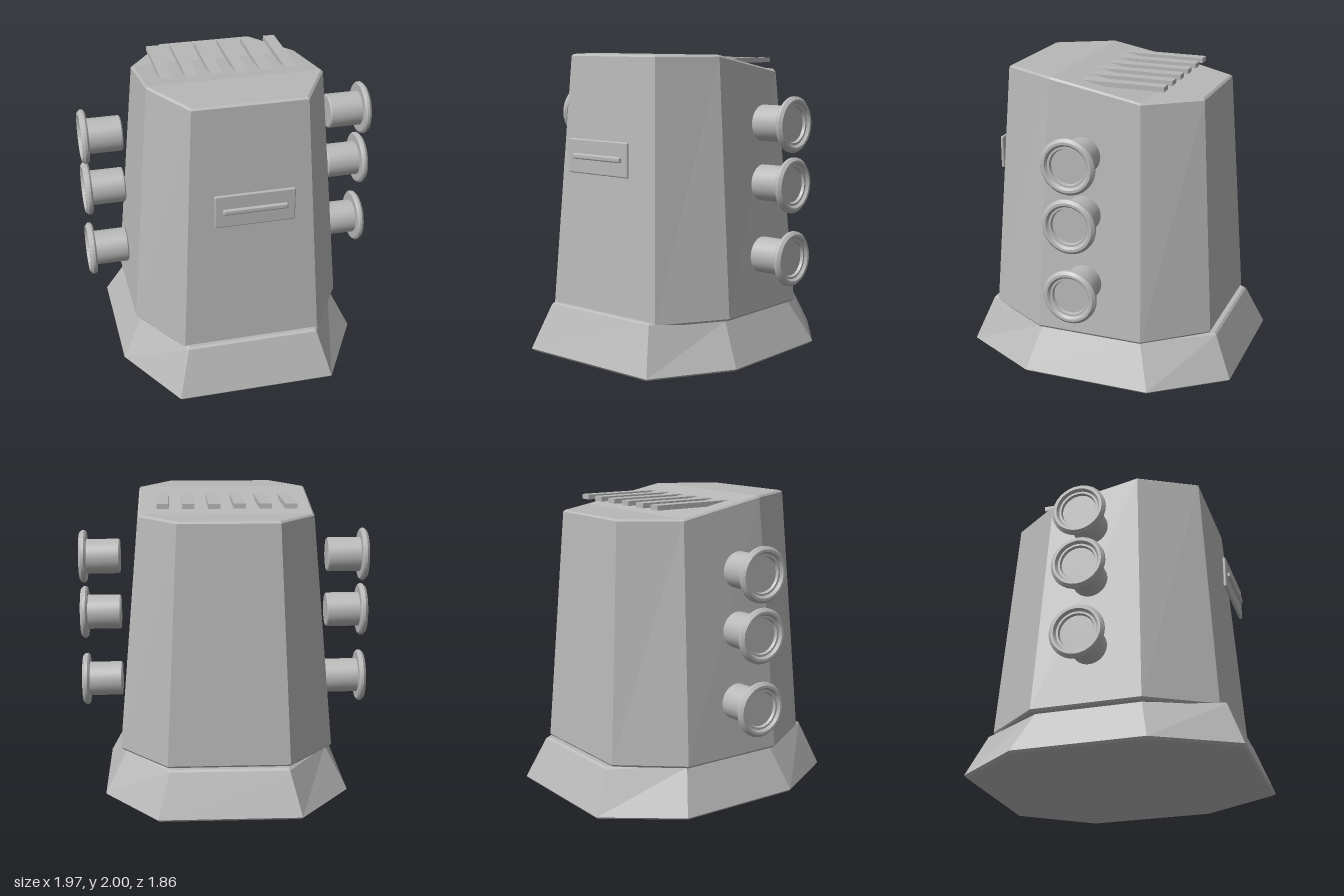
import * as THREE from 'three';
import { toCreasedNormals } from 'three/addons/utils/BufferGeometryUtils.js';
import { RoundedBoxGeometry } from 'three/addons/geometries/RoundedBoxGeometry.js';

// Eight-cornered ring, counter-clockwise from above. Each corner pair is [x, y, z], front to back.
function ring(front, sideFront, sideBack, back) {
  const right = [front, sideFront, sideBack, back];
  const left = right.map(([x, y, z]) => [-x, y, z]).reverse();
  return [...right, ...left];
}

// Skin a stack of rings with flat faces and close both ends.
function loft(rings) {
  const pos = [];
  const quad = (a, b, c, d) => pos.push(...a, ...b, ...c, ...a, ...c, ...d);
  for (let r = 0; r < rings.length - 1; r++) {
    const lo = rings[r], hi = rings[r + 1];
    for (let i = 0; i < 8; i++) {
      const j = (i + 1) % 8;
      quad(lo[i], lo[j], hi[j], hi[i]);
    }
  }
  const top = rings[rings.length - 1], bottom = rings[0];
  for (const [a, b, c, d] of [[0, 1, 6, 7], [1, 2, 5, 6], [2, 3, 4, 5]]) {
    quad(top[a], top[b], top[c], top[d]);
    quad(bottom[d], bottom[c], bottom[b], bottom[a]);
  }
  const geo = new THREE.BufferGeometry();
  geo.setAttribute('position', new THREE.Float32BufferAttribute(pos, 3));
  geo.computeVertexNormals();
  return geo;
}

export function createModel() {
  const model = new THREE.Group();
  model.name = 'octagonalHousing';
  const grey = new THREE.MeshStandardMaterial({ color: 0xb8b8b8 });
  grey.name = 'grey';

  const add = (name, geometry, parent = model) => {
    const mesh = new THREE.Mesh(geometry, grey);
    mesh.name = name;
    parent.add(mesh);
    return mesh;
  };

  // Flared plinth
  add('base', loft([
    ring([0.51, 0, 0.915], [0.805, 0, 0.395], [0.805, 0, -0.46], [0.455, 0, -0.92]),
    ring([0.525, 0.015, 0.928], [0.82, 0.015, 0.40], [0.82, 0.015, -0.47], [0.465, 0.015, -0.933]),
    ring([0.44, 0.32, 0.81], [0.675, 0.295, 0.33], [0.675, 0.295, -0.37], [0.39, 0.29, -0.81]),
    ring([0.43, 0.33, 0.795], [0.66, 0.303, 0.32], [0.66, 0.303, -0.36], [0.38, 0.303, -0.795]),
  ]));

  // Tapered body with a sloping roof
  add('body', loft([
    ring([0.45, 0.30, 0.76], [0.705, 0.30, 0.335], [0.705, 0.30, -0.38], [0.395, 0.30, -0.76]),
    ring([0.457, 0.315, 0.77], [0.716, 0.315, 0.34], [0.716, 0.315, -0.388], [0.40, 0.315, -0.77]),
    ring([0.37, 1.988, 0.663], [0.578, 1.988, 0.283], [0.578, 1.876, -0.33], [0.327, 1.876, -0.668]),
    ring([0.362, 2, 0.648], [0.565, 2, 0.277], [0.565, 1.888, -0.325], [0.32, 1.888, -0.655]),
  ]));

  // Level slats sunk into the roof slope
  const slats = new THREE.Group();
  slats.name = 'roofSlats';
  model.add(slats);
  for (let i = 0; i < 6; i++) {
    add('slat', new THREE.BoxGeometry(0.079, 0.032, 0.63), slats)
      .position.set((i - 2.5) * 0.165, 1.955, -0.125);
  }

  // Front plate with a raised bar
  add('frontPlate', new RoundedBoxGeometry(0.522, 0.226, 0.022, 2, 0.01)).position.set(0, 1.347, 0.797);
  add('plateBar', new RoundedBoxGeometry(0.42, 0.038, 0.03, 2, 0.012)).position.set(0, 1.347, 0.812);

  // Side ports: shaft, bevelled flange and recessed face, turned as [radius, distance outward]
  const profile = [
    [0, 0.71], [0.11, 0.71], [0.118, 0.718], [0.118, 0.938], [0.168, 0.938],
    [0.18, 0.95], [0.18, 0.967], [0.162, 0.985], [0.146, 0.985],
    [0.132, 0.968], [0.118, 0.968], [0.112, 0.95], [0, 0.95],
  ].map(([r, d]) => new THREE.Vector2(r, d));
  const port = toCreasedNormals(new THREE.LatheGeometry(profile, 32), 0.5);
  port.rotateZ(-Math.PI / 2);
  for (const side of [1, -1]) {
    const ports = new THREE.Group();
    ports.name = side > 0 ? 'leftPorts' : 'rightPorts';
    if (side < 0) ports.rotation.y = Math.PI;
    model.add(ports);
    for (const y of [0.69, 1.17, 1.56]) add('port', port, ports).position.y = y;
  }

  return model;
}
